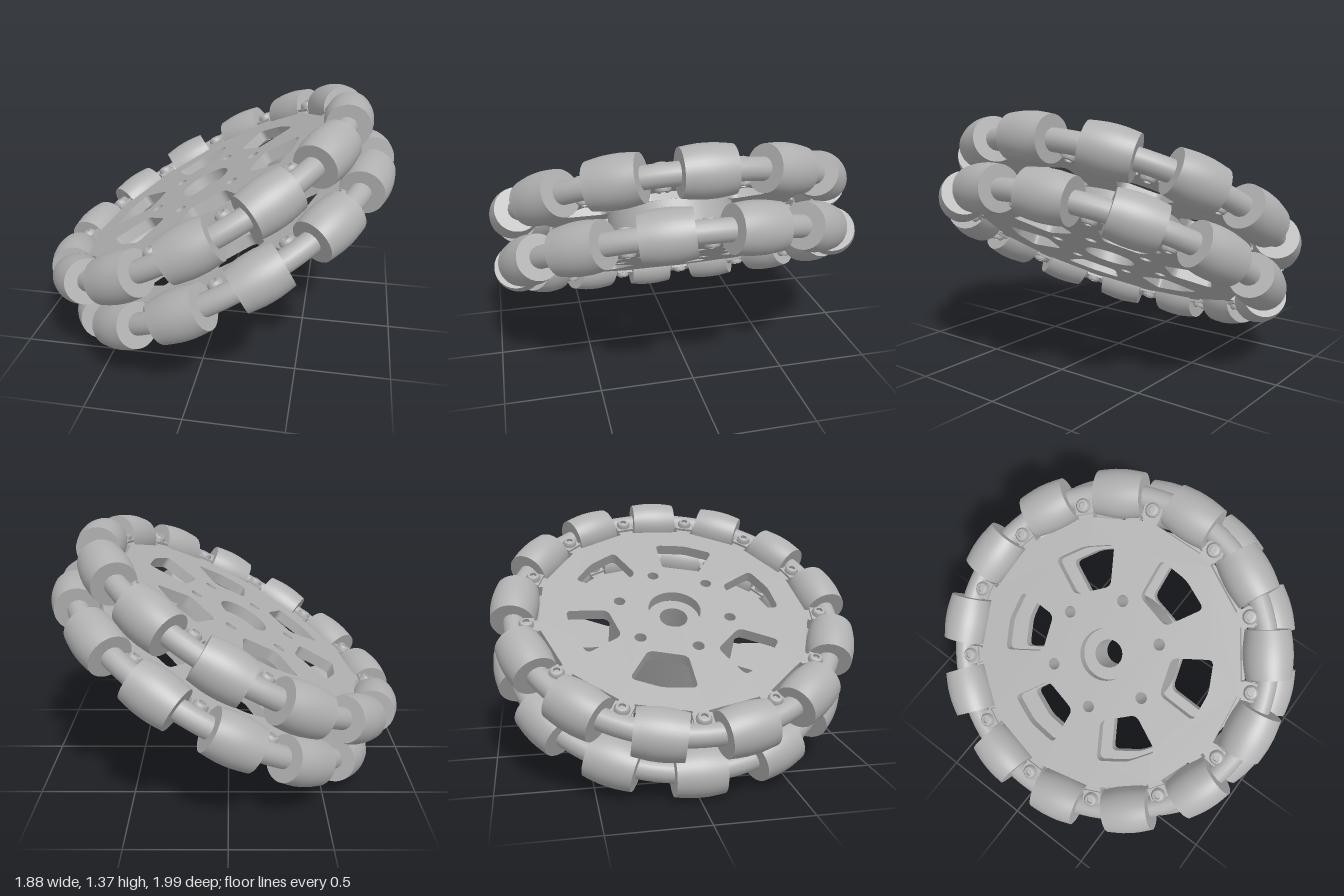
import * as THREE from 'three';
import { toCreasedNormals } from 'three/addons/utils/BufferGeometryUtils.js';

const ROLLERS = 13;
const STEP = (Math.PI * 2) / ROLLERS;
const RING_R = 0.87;     // radius of the roller circle
const RING_Y = 0.138;    // ring distance from the wheel's middle
const HALF_T = 0.031;    // half plate thickness
const LUG_T = 0.045;     // half thickness of the screw lugs
const rad = THREE.MathUtils.degToRad;

// Point at radius r along angle a, moved t sideways
function polar(a, r, t = 0) {
  return new THREE.Vector2(
    r * Math.cos(a) - t * Math.sin(a),
    r * Math.sin(a) + t * Math.cos(a));
}

function circleHole(a, r, size) {
  const c = polar(a, r);
  return new THREE.Path().absarc(c.x, c.y, size, 0, Math.PI * 2, true);
}

// Closed polygon path with rounded corners
function roundedPath(pts, k) {
  const path = new THREE.Path();
  pts.forEach((p, i) => {
    const prev = pts[(i + pts.length - 1) % pts.length];
    const next = pts[(i + 1) % pts.length];
    const a = p.clone().add(prev.clone().sub(p).setLength(k));
    const b = p.clone().add(next.clone().sub(p).setLength(k));
    if (i === 0) path.moveTo(a.x, a.y); else path.lineTo(a.x, a.y);
    path.quadraticCurveTo(p.x, p.y, b.x, b.y);
  });
  path.closePath();
  return path;
}

// Flat slab centred on y = 0
function slab(shape, depth) {
  const geo = new THREE.ExtrudeGeometry(shape, { depth, bevelEnabled: false, curveSegments: 20 });
  geo.translate(0, 0, -depth / 2);
  geo.rotateX(Math.PI / 2);
  return toCreasedNormals(geo, rad(35));
}

function boltHoles() {
  return Array.from({ length: 6 }, (_, i) => circleHole(rad(45.5 + 60 * i), 0.308, 0.032));
}

// Side plate: notched for the rollers, with tongues between them
function plateGeometry(phase) {
  const pts = [];
  for (let i = 0; i < ROLLERS; i++) {
    const a = phase + i * STEP;
    pts.push(polar(a, 0.83, -0.14), polar(a, 0.732, -0.14),
      polar(a, 0.732, 0.14), polar(a, 0.83, 0.14));
  }
  const shape = new THREE.Shape(pts);
  shape.holes.push(circleHole(0, 0, 0.145), ...boltHoles());
  for (let i = 0; i < 6; i++) {
    const a = rad(15 + 60 * i);
    shape.holes.push(roundedPath([
      polar(a, 0.355, -0.105), polar(a, 0.355, 0.105), polar(a, 0.57, 0.172),
      polar(a, 0.6, 0), polar(a, 0.57, -0.172)], 0.035));
  }
  return slab(shape, HALF_T * 2);
}

function lathe(points, segments, crease) {
  const geo = new THREE.LatheGeometry(points.map(p => new THREE.Vector2(...p)), segments);
  return toCreasedNormals(geo, rad(crease));
}

export function createModel() {
  const grey = new THREE.MeshStandardMaterial({ color: 0xb0b0b0 });
  grey.name = 'grey';

  const add = (parent, geo, name) => {
    const mesh = new THREE.Mesh(geo, grey);
    mesh.name = name;
    parent.add(mesh);
    return mesh;
  };

  // Barrel roller and socket-head screw profiles
  const rollerGeo = lathe([[0, -0.127], [0.117, -0.127], [0.123, -0.085], [0.128, -0.04],
    [0.129, 0], [0.128, 0.04], [0.123, 0.085], [0.117, 0.127], [0, 0.127]], 40, 30);
  const screwGeo = lathe([[0.04, 0], [0.04, 0.01], [0.03, 0.024],
    [0.018, 0.026], [0.018, 0.01], [0, 0.01]], 18, 40);
  const rodGeo = new THREE.TorusGeometry(RING_R, 0.058, 16, 104).rotateX(Math.PI / 2);
  const lugGeo = new THREE.BoxGeometry(0.09, LUG_T * 2, 0.1);

  function makeRing(name, phase) {
    const ring = new THREE.Group();
    ring.name = name;
    add(ring, plateGeometry(phase), 'sidePlate');
    add(ring, rodGeo, 'rollerAxleRing');
    for (let i = 0; i < ROLLERS; i++) {
      // Roller lying along the tangent
      const a = phase + i * STEP;
      const p = polar(a, RING_R);
      const roller = add(ring, rollerGeo, 'roller');
      roller.position.set(p.x, 0, p.y);
      roller.rotation.set(Math.PI / 2, 0, a);

      // Lug between rollers, with a screw on both faces
      const mid = a + STEP / 2;
      const q = polar(mid, 0.812);
      const lug = add(ring, lugGeo, 'lug');
      lug.position.set(q.x, 0, q.y);
      lug.rotation.y = -mid;
      for (const side of [1, -1]) {
        const screw = add(ring, screwGeo, 'screw');
        screw.position.set(q.x, side * LUG_T, q.y);
        if (side < 0) screw.rotation.x = Math.PI;
      }
    }
    return ring;
  }

  const wheel = new THREE.Group();
  wheel.name = 'wheel';
  const upper = makeRing('upperRing', 0);
  upper.position.y = RING_Y;
  const lower = makeRing('lowerRing', Math.PI);
  lower.position.y = -RING_Y;
  wheel.add(upper, lower);

  // Hub between the plates, with a narrower bore
  const hub = new THREE.Shape().absarc(0, 0, 0.355, 0, Math.PI * 2, false);
  hub.holes.push(circleHole(0, 0, 0.078), ...boltHoles());
  add(wheel, slab(hub, 2 * (RING_Y - HALF_T)), 'hub');

  // The wheel leans 30 degrees
  wheel.rotation.z = Math.PI / 6;
  wheel.position.y = 0.685;

  const model = new THREE.Group();
  model.name = 'rollerWheel';
  model.add(wheel);
  return model;
}
